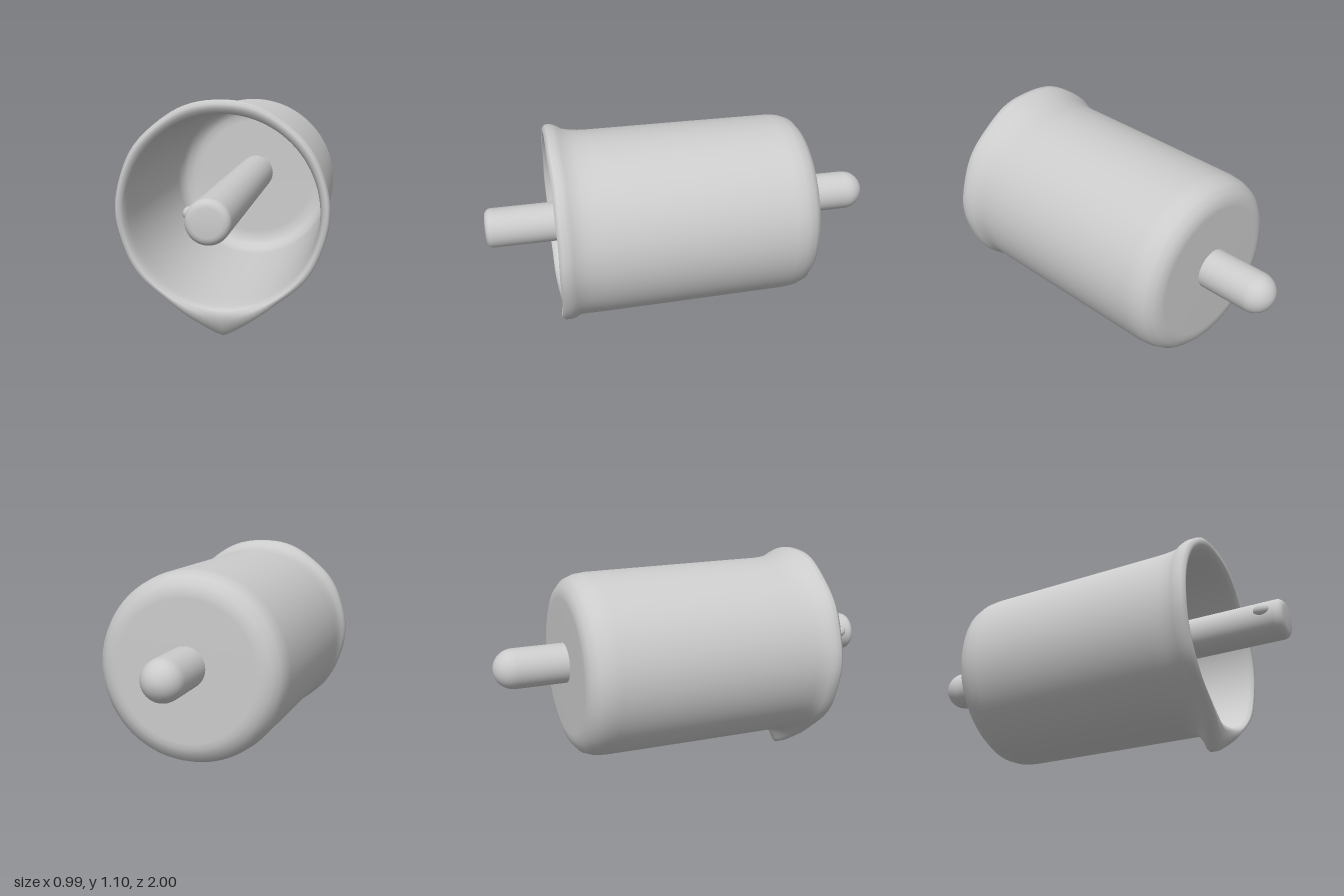
import * as THREE from 'three';
import { mergeVertices } from 'three/addons/utils/BufferGeometryUtils.js';

const AXIS_Y = 0.6;
const SPOUT_SLOPE = 0.72;
const SPOUT_HALF_ANGLE = Math.atan(SPOUT_SLOPE);
const material = new THREE.MeshStandardMaterial({ color: 0xcccccc });

// Lathe around z: points are [radius, z], listed from the back outward and forward.
function latheZ(points, segments) {
  const g = new THREE.LatheGeometry(points.map(([r, z]) => new THREE.Vector2(r, z)), segments);
  g.rotateX(Math.PI / 2);
  return g;
}

function addMesh(group, name, geometry, x, y, z) {
  const mesh = new THREE.Mesh(geometry, material);
  mesh.name = name;
  mesh.position.set(x, y, z);
  group.add(mesh);
  return mesh;
}

// Joins the lathe seam and smooths the normals.
function smooth(g) {
  g.deleteAttribute('uv');
  g.deleteAttribute('normal');
  const merged = mergeVertices(g, 1e-4);
  merged.computeVertexNormals();
  return merged;
}

// How far the pouring lip reaches beyond the rim, at an angle from straight down:
// two straight sides meeting at a blunt tip, zero outside the spout.
function spoutReach(angle) {
  const a = Math.hypot(angle, 0.03);
  if (a > SPOUT_HALF_ANGLE) return 0;
  return 0.61 / (Math.cos(a) + SPOUT_SLOPE * Math.sin(a)) - 0.495;
}

function beakerGeometry() {
  // [radius, z, share of lip and rim deformation]
  const rows = [
    [0, -0.645, 0], [0.34, -0.645, 0], [0.37, -0.643, 0], [0.405, -0.63, 0],
    [0.438, -0.6, 0], [0.455, -0.555, 0], [0.461, -0.5, 0], [0.465, 0, 0],
    [0.468, 0.45, 0], [0.468, 0.49, 0.1], [0.468, 0.53, 0.3], [0.47, 0.57, 0.62],
    [0.482, 0.595, 0.85], [0.489, 0.62, 0.97], [0.488, 0.648, 1], [0.478, 0.665, 0.7],
    [0.463, 0.662, 0.3], [0.452, 0.64, 0.06], [0.447, 0.6, 0], [0.446, 0.5, 0],
    [0.445, -0.48, 0], [0.435, -0.54, 0], [0.41, -0.58, 0], [0.37, -0.598, 0],
    [0.33, -0.6, 0], [0, -0.6, 0],
  ];
  const g = latheZ(rows, 96);
  const pos = g.attributes.position;
  for (let i = 0; i < pos.count; i++) {
    const [r, z, share] = rows[i % rows.length];
    if (share === 0) continue;
    const angle = Math.atan2(pos.getX(i), -pos.getY(i));
    const reach = spoutReach(angle);
    const lift = 0.024 * Math.max(0, -Math.cos(angle));
    const wobble = 0.004 * Math.sin(angle * 7) * Math.sin(angle * 3);
    const radius = r + share * (reach + lift + wobble);
    pos.setXYZ(i, radius * Math.sin(angle), -radius * Math.cos(angle),
      z - 0.55 * share * reach + share * wobble);
  }
  return smooth(g);
}

// Rod with a domed back end and a lightly rounded front end.
function rodGeometry() {
  const r = 0.1;
  const points = [];
  for (let i = 0; i <= 8; i++) {
    const a = (i / 8) * Math.PI / 2;
    points.push([r * Math.sin(a), -0.9 - r * Math.cos(a)]);
  }
  points.push([r, 0], [r, 0.95]);
  for (let i = 0; i <= 4; i++) {
    const a = (i / 4) * Math.PI / 2;
    points.push([0.065 + 0.035 * Math.cos(a), 0.96 + 0.035 * Math.sin(a)]);
  }
  points.push([0, 1]);
  return smooth(latheZ(points, 40));
}

export function createModel() {
  const model = new THREE.Group();
  model.name = 'beakerOnRod';
  addMesh(model, 'beaker', beakerGeometry(), 0, AXIS_Y, 0);
  addMesh(model, 'rod', rodGeometry(), 0, 0.622, 0);
  // Small bump on the side of the rod's front end
  const nub = addMesh(model, 'rodNub', new THREE.SphereGeometry(0.035, 16, 12), -0.086, 0.645, 0.895);
  nub.scale.set(1, 0.9, 1.2);
  return model;
}
